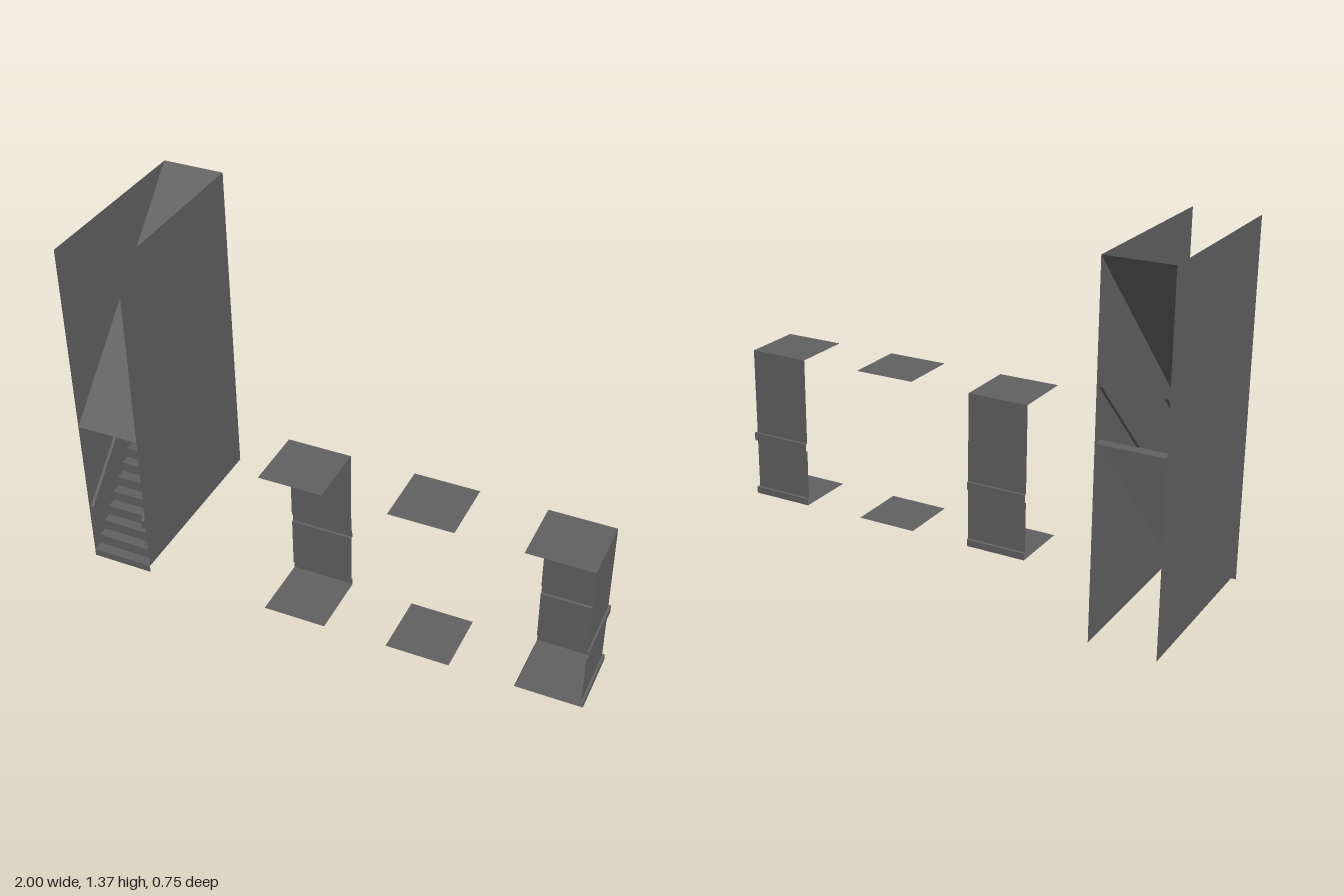
import * as THREE from 'three';

const W = 0.2485;   // corridor cell width
const H = 0.625;    // corridor height
const TOP = 1.373;  // stairwell height
const Z = 0.3735;   // half length of the stairwell
const D = 0.008;    // depth of wall grooves

export function createModel() {
  const model = new THREE.Group();
  const grey = new THREE.MeshStandardMaterial({ color: 0x606060, side: THREE.DoubleSide });
  grey.name = 'concreteGrey';

  // Sweeps an open [z, y] profile along x as flat-faced quads
  function strip(parent, name, profile, x0, x1) {
    const pos = [];
    for (let i = 0; i < profile.length - 1; i++) {
      const [za, ya] = profile[i], [zb, yb] = profile[i + 1];
      pos.push(x0, ya, za, x1, ya, za, x1, yb, zb);
      pos.push(x0, ya, za, x1, yb, zb, x0, yb, zb);
    }
    const g = new THREE.BufferGeometry();
    g.setAttribute('position', new THREE.Float32BufferAttribute(pos, 3));
    g.computeVertexNormals();
    const mesh = new THREE.Mesh(g, grey);
    mesh.name = name;
    parent.add(mesh);
    return mesh;
  }

  // Wall with an outward rail groove and skirting; ends extend where grooves meet
  function wall(name, extraLeft, extraRight) {
    const g = new THREE.Group();
    g.name = name;
    const h = W / 2, z = -h, o = -h - D;
    strip(g, 'upperPanel', [[z, H], [z, 0.27]], -h, h);
    strip(g, 'railGroove', [[z, 0.27], [o, 0.268], [o, 0.237], [z, 0.235]], -h - extraLeft, h + extraRight);
    strip(g, 'lowerPanel', [[z, 0.235], [z, 0.03]], -h, h);
    strip(g, 'skirting', [[z, 0.03], [o, 0.027], [o, 0], [z, 0]], -h, h + extraRight);
    return g;
  }

  // Corridor cells: one wall, no walls, and a corner
  function corridor(name, x0) {
    const g = new THREE.Group();
    g.name = name;
    g.position.set(x0 + W / 2, 0, Z - W / 2);
    const h = W / 2;
    strip(g, 'floor', [[h, 0], [-h, 0]], -h, h);
    strip(g, 'ceiling', [[h, H], [-h, H]], -h, h);
    model.add(g);
    return g;
  }
  corridor('straightCorridor', -0.253).add(wall('backWall', 0, 0));
  corridor('openCorridor', 0.245);
  const corner = corridor('cornerCorridor', 0.7435);
  corner.add(wall('backWall', 0, D));
  const side = wall('sideWall', D, 0);
  side.rotation.y = -Math.PI / 2;
  corner.add(side);

  // Stairwell: two tall walls, sloping ceiling, thin zigzag stairs
  const well = new THREE.Group();
  well.name = 'stairwell';
  well.position.x = -1 + W / 2;
  model.add(well);
  strip(well, 'slopingCeiling', [[Z, H], [-Z, TOP]], -W / 2, W / 2);

  const steps = 18, first = 0.03, rise = (0.75 - first) / (steps - 1), run = 2 * Z / steps;
  const stairs = [[Z, 0]];
  for (let i = 0; i < steps; i++) {
    const y = first + i * rise;
    stairs.push([Z - i * run, y], [Z - (i + 1) * run, y]);
  }
  strip(well, 'stairs', stairs, -W / 2, W / 2);

  for (const s of [-1, 1]) {
    const panel = new THREE.Mesh(new THREE.PlaneGeometry(2 * Z, TOP - first), grey);
    panel.name = s < 0 ? 'rightWall' : 'leftWall';
    panel.rotation.y = -s * Math.PI / 2;
    panel.position.set(s * W / 2, (TOP + first) / 2, 0);
    well.add(panel);

    // Handrail follows the stairs, set just off the wall
    const rail = s * (W / 2 - 0.013);
    strip(well, 'handrail', [[Z, 0.215], [Z, 0.25], [-Z, 0.98], [-Z, 0.945], [Z, 0.215]], rail - 0.006, rail + 0.006);
    for (const e of [-1, 1]) {
      strip(well, 'handrailSide', [[Z, 0.2325], [-Z, 0.9625]], rail + e * 0.006, rail + e * 0.006);
      const cheek = new THREE.Mesh(new THREE.ShapeGeometry(new THREE.Shape([
        new THREE.Vector2(-Z, 0.215), new THREE.Vector2(-Z, 0.25),
        new THREE.Vector2(Z, 0.98), new THREE.Vector2(Z, 0.945)])), grey);
      cheek.name = 'handrailCheek';
      cheek.rotation.y = Math.PI / 2;
      cheek.position.x = rail + e * 0.006;
      well.add(cheek);
    }
    well.children.filter(c => c.name === 'handrailSide').forEach(c => well.remove(c));
  }
  return model;
}
